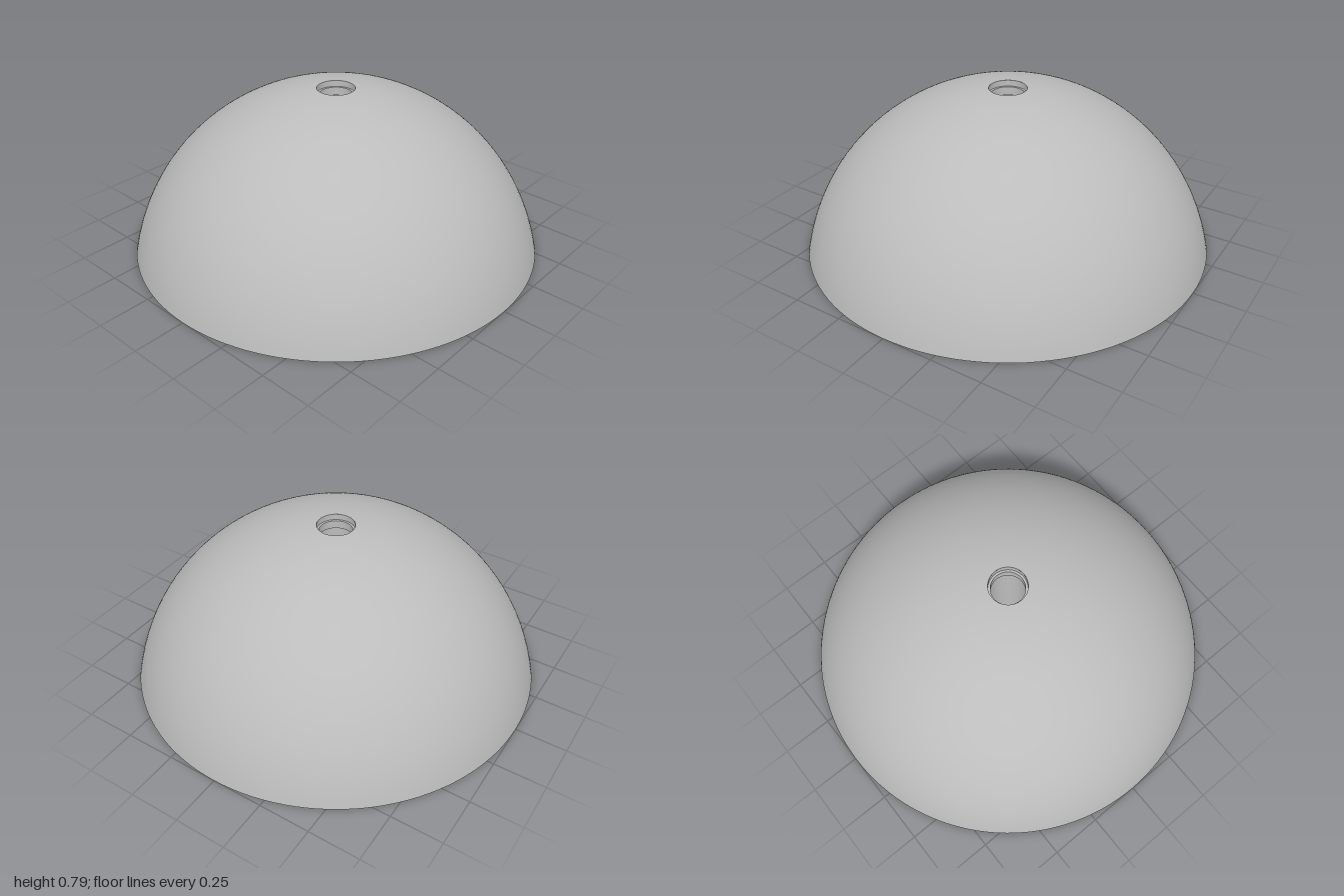
import * as THREE from 'three';

export function createModel() {
  const model = new THREE.Group();
  const grey = new THREE.MeshStandardMaterial({ color: 0xbcbcbc });
  grey.name = 'grey';

  const add = (name, geometry, parent = model) => {
    const mesh = new THREE.Mesh(geometry, grey);
    mesh.name = name;
    parent.add(mesh);
    return mesh;
  };
  // Turned surface; rising profiles face outward, falling ones face inward
  const turned = (points, segments) =>
    new THREE.LatheGeometry(points.map(([r, y]) => new THREE.Vector2(r, y)), segments);

  // Spherical cap with an open top
  const R = 1.0258, centreY = -0.229, boreR = 0.091;
  const start = Math.asin(-centreY / R), end = Math.acos(boreR / R);
  const cap = [];
  for (let i = 0; i <= 48; i++) {
    const a = start + (end - start) * i / 48;
    cap.push([R * Math.cos(a), centreY + R * Math.sin(a)]);
  }
  cap[0] = [1, 0];
  add('dome', turned(cap, 128));

  // Central through bore with a narrow lip near the top, one mesh per hard edge
  const topY = cap[48][1], lipR = 0.08;
  const bore = new THREE.Group();
  bore.name = 'centralBore';
  model.add(bore);
  const boreProfile = [
    [boreR, topY], [boreR, topY - 0.03], [lipR, topY - 0.03],
    [lipR, topY - 0.07], [boreR, topY - 0.07], [boreR, 0],
  ];
  const boreParts = ['upperWall', 'lipTop', 'lipWall', 'lipUnderside', 'lowerWall'];
  boreParts.forEach((name, i) => add(name, turned(boreProfile.slice(i, i + 2), 48), bore));

  // Blind holes in the underside
  const holes = [{ name: 'cableHole', angle: 95, dist: 0.533, r: 0.086, depth: 0.11 }];
  for (const angle of [-55, -115, 175, 115, 65]) {
    holes.push({ name: 'footHole', angle, dist: 0.86, r: 0.063, depth: 0.05 });
    holes.push({ name: 'pinHole', angle, dist: 0.743, r: 0.022, depth: 0.05 });
  }

  const outline = new THREE.Shape().absarc(0, 0, 1, 0, Math.PI * 2);
  const cut = (x, z, r) => outline.holes.push(new THREE.Path().absarc(x, z, r, 0, Math.PI * 2, true));
  cut(0, 0, boreR);
  for (const { name, angle, dist, r, depth } of holes) {
    const a = THREE.MathUtils.degToRad(angle);
    const x = dist * Math.cos(a), z = dist * Math.sin(a);
    cut(x, z, r);
    const hole = new THREE.Group();
    hole.name = name;
    hole.position.set(x, 0, z);
    add('holeWall', turned([[r, depth], [r, 0]], 32), hole);
    add('holeCeiling', turned([[0, depth], [r, depth]], 32), hole);
    model.add(hole);
  }

  // Flat underside, facing down
  add('base', new THREE.ShapeGeometry(outline, 64).rotateX(Math.PI / 2));
  return model;
}
